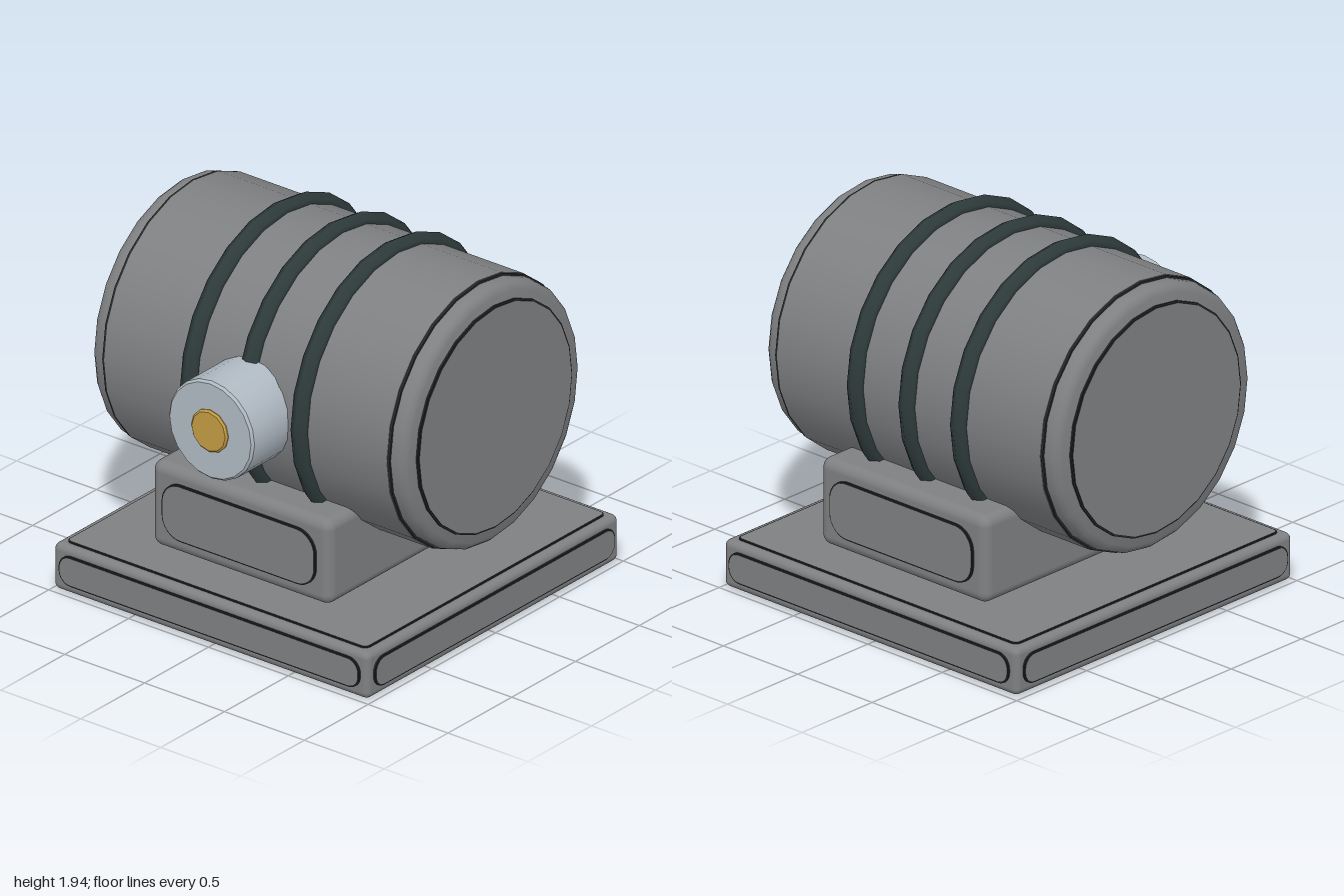
import * as THREE from 'three';
import { toCreasedNormals } from 'three/addons/utils/BufferGeometryUtils.js';
import { RoundedBoxGeometry } from 'three/addons/geometries/RoundedBoxGeometry.js';

const material = (name, color) => {
  const m = new THREE.MeshStandardMaterial({ color });
  m.name = name;
  return m;
};

export function createModel() {
  const grey = material('grey casing', 0x7f8082);
  const dark = material('dark seam', 0x262829);
  const band = material('band green black', 0x2f3b3b);
  const silver = material('pale silver', 0xb0bac3);
  const gold = material('gold', 0xc39b42);

  const model = new THREE.Group();
  const add = (parent, name, geometry, mat, x = 0, y = 0, z = 0) => {
    const mesh = new THREE.Mesh(geometry, mat);
    mesh.name = name;
    mesh.position.set(x, y, z);
    parent.add(mesh);
    return mesh;
  };

  // Rounded rectangle plate, rising along +z from z = 0
  const plate = (w, h, r, depth) => {
    const s = new THREE.Shape();
    const a = w / 2, b = h / 2, q = Math.PI / 2;
    s.absarc(a - r, b - r, r, 0, q);
    s.absarc(-a + r, b - r, r, q, 2 * q);
    s.absarc(-a + r, -b + r, r, 2 * q, 3 * q);
    s.absarc(a - r, -b + r, r, 3 * q, 4 * q);
    return new THREE.ExtrudeGeometry(s, { depth, bevelEnabled: false, curveSegments: 4 });
  };

  // Raised panel with a dark rim, lying on the +z face of its group
  const panel = (parent, name, w, h, r, depth) => {
    const g = new THREE.Group();
    g.name = name;
    add(g, 'panelRim', plate(w + 0.014, h + 0.014, r + 0.007, depth * 0.6), dark);
    add(g, 'panelFace', plate(w, h, r, depth), [grey, dark]);
    parent.add(g);
    return g;
  };

  // Lathe with sharp edges kept, profile given as [radius, height]
  const turned = (profile, sides) => toCreasedNormals(
    new THREE.LatheGeometry(profile.map(p => new THREE.Vector2(...p)), sides), 0.6);

  // Base slab with panels on every face
  const base = new THREE.Group();
  base.name = 'base';
  model.add(base);
  add(base, 'baseSlab', new RoundedBoxGeometry(1.974, 0.252, 1.974, 3, 0.035), grey, 0, 0.134, 0);
  for (let i = 0; i < 4; i++) {
    const p = panel(base, 'baseSidePanel', 1.87, 0.15, 0.065, 0.013);
    const a = i * Math.PI / 2;
    p.rotation.y = a;
    p.position.set(0.987 * Math.sin(a), 0.137, 0.987 * Math.cos(a));
  }
  for (const side of [1, -1]) {
    const p = panel(base, side > 0 ? 'baseTopPanel' : 'baseBottomPanel', 1.87, 1.87, 0.03, 0.008);
    p.rotation.x = -side * Math.PI / 2;
    p.position.y = 0.134 + side * 0.126;
  }

  // Saddle block under the drum
  const saddle = new THREE.Group();
  saddle.name = 'saddle';
  model.add(saddle);
  add(saddle, 'saddleBlock', new RoundedBoxGeometry(1.12, 0.465, 1.51, 4, 0.055), grey, 0, 0.5225, 0);
  for (const side of [1, -1]) {
    const p = panel(saddle, 'saddlePanel', 0.95, 0.295, 0.11, 0.014);
    p.rotation.y = side > 0 ? 0 : Math.PI;
    p.position.set(0, 0.5225, side * 0.755);
  }

  // Drum lying along x
  const drum = new THREE.Group();
  drum.name = 'drum';
  drum.position.y = 1.18;
  model.add(drum);
  const alongX = geometry => geometry.rotateZ(-Math.PI / 2);
  add(drum, 'drumBody', alongX(turned(
    [[0.6, -0.885], [0.71, -0.885], [0.71, 0.885], [0.6, 0.885]], 24)), grey);
  for (const side of [1, -1]) {
    const end = new THREE.Group();
    end.name = 'drumEnd';
    end.rotation.y = side > 0 ? 0 : Math.PI;
    drum.add(end);
    add(end, 'endSeam', alongX(turned([[0.707, 0.88], [0.707, 0.899], [0.6, 0.899]], 24)), dark);
    add(end, 'endCap', alongX(turned([[0.697, 0.895], [0.697, 0.93], [0.691, 0.955],
      [0.675, 0.974], [0.65, 0.985], [0, 0.985]], 24)), grey);
    add(end, 'endDiscRim', alongX(turned([[0.607, 0.98], [0.607, 0.994], [0, 0.994]], 24)), dark);
    add(end, 'endDiscEdge', alongX(turned([[0.598, 0.98], [0.598, 1]], 24)), dark);
    add(end, 'endDisc', alongX(turned([[0.598, 1], [0, 1]], 24)), grey);
  }

  // Three bands around the drum
  for (const x of [-0.347, 0, 0.347]) {
    add(drum, 'drumBand', new THREE.TorusGeometry(0.711, 0.05, 6, 24).rotateY(Math.PI / 2), band, x);
  }

  // Front knob with a gold centre
  const knob = new THREE.Group();
  knob.name = 'knob';
  knob.position.y = 1.18;
  model.add(knob);
  add(knob, 'knobBody', turned([[0, 0.66], [0.267, 0.66], [0.267, 0.972], [0.255, 0.985], [0, 0.985]], 20)
    .rotateX(Math.PI / 2), silver);
  add(knob, 'knobCentre', turned([[0.115, 0.97], [0.115, 0.99], [0.105, 1], [0, 1]], 12)
    .rotateX(Math.PI / 2), gold);

  return model;
}
